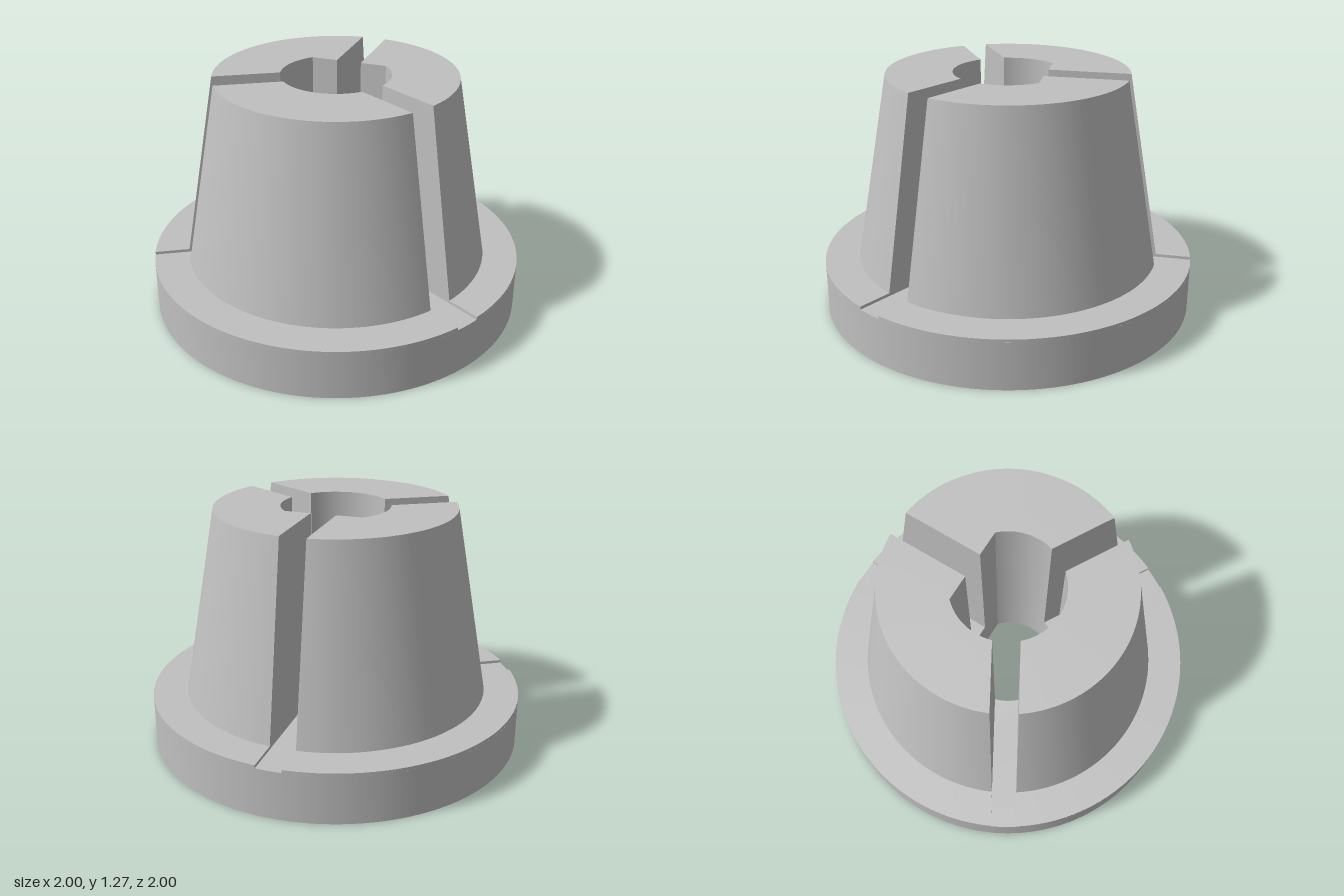
import * as THREE from 'three';
import { toCreasedNormals } from 'three/addons/utils/BufferGeometryUtils.js';

const RIM = 1, FOOT = 0.815, TOP = 0.635;            // outer radii
const BORE = 0.287, FLAT = 0.2;                      // D-shaped bore
const GROOVE_Y = 0.256, FLANGE_Y = 0.272, TOP_Y = 1.272;
const SLOT = 0.067;                                  // half slot width
const STEPS = 36, CORNER_STEP = 8;
const THIRD = Math.PI * 2 / 3;
const lerp = THREE.MathUtils.lerp;

// Angles are measured from the back (-z) towards +x.
const CORNER = Math.acos(FLAT / BORE);
const slotAngle = (r) => Math.asin(SLOT / r);

// Lower flange disc with the D-shaped bore through it
function flangeGeometry() {
  const shape = new THREE.Shape().absarc(0, 0, RIM, 0, Math.PI * 2, false);
  const c = Math.asin(FLAT / BORE);
  const hole = new THREE.Path().absarc(0, 0, BORE, Math.PI - c, Math.PI * 2 + c, false);
  hole.closePath();
  shape.holes.push(hole);
  const g = new THREE.ExtrudeGeometry(shape, { depth: GROOVE_Y, bevelEnabled: false, curveSegments: 108 });
  g.rotateX(-Math.PI / 2);
  return toCreasedNormals(g, 0.5);
}

// One third of the tapered body with its flange top, between two parallel-sided slots
function segmentGeometry(k) {
  const start = k * THIRD, end = start + THIRD;
  const arc = (r, t) => lerp(start + slotAngle(r), end - slotAngle(r), t);

  // Bore edge: radius and angle at step i, with the flat next to the back slot
  function bore(i) {
    if (k === 1) return [BORE, arc(BORE, i / STEPS)];
    const s = k === 0 ? i : STEPS - i;
    const flatStart = Math.atan(SLOT / FLAT);
    const a = s <= CORNER_STEP
      ? lerp(flatStart, CORNER, s / CORNER_STEP)
      : lerp(CORNER, THIRD - slotAngle(BORE), (s - CORNER_STEP) / (STEPS - CORNER_STEP));
    const r = s <= CORNER_STEP ? FLAT / Math.cos(a) : BORE;
    return [r, k === 0 ? a : Math.PI * 2 - a];
  }

  const pos = [], index = [];
  for (let i = 0; i <= STEPS; i++) {
    const t = i / STEPS, [br, ba] = bore(i);
    const profile = [
      [RIM, arc(RIM, t), GROOVE_Y], [RIM, arc(RIM, t), FLANGE_Y],
      [FOOT, arc(FOOT, t), FLANGE_Y], [TOP, arc(TOP, t), TOP_Y],
      [br, ba, TOP_Y], [br, ba, GROOVE_Y],
    ];
    for (const [r, a, y] of profile) pos.push(r * Math.sin(a), y, -r * Math.cos(a));
  }
  for (let i = 0; i < STEPS; i++) {
    for (let j = 0; j < 5; j++) {
      const p = i * 6 + j, q = p + 6;
      index.push(p, p + 1, q + 1, p, q + 1, q);
    }
  }
  // Slot walls
  const e = STEPS * 6;
  for (const [a, b] of [[3, 4], [4, 5], [5, 0], [0, 1]]) {
    index.push(2, b, a, e + 2, e + a, e + b);
  }
  const g = new THREE.BufferGeometry();
  g.setAttribute('position', new THREE.Float32BufferAttribute(pos, 3));
  g.setIndex(index);
  return toCreasedNormals(g, 0.5);
}

export function createModel() {
  const model = new THREE.Group();
  model.name = 'slottedTaperBushing';
  const metal = new THREE.MeshStandardMaterial({ color: 0xc0c0c0 });
  metal.name = 'plainGrey';

  const flange = new THREE.Mesh(flangeGeometry(), metal);
  flange.name = 'flange';
  model.add(flange);

  ['leftSegment', 'frontSegment', 'rightSegment'].forEach((name, k) => {
    const segment = new THREE.Mesh(segmentGeometry(k), metal);
    segment.name = name;
    model.add(segment);
  });
  return model;
}
